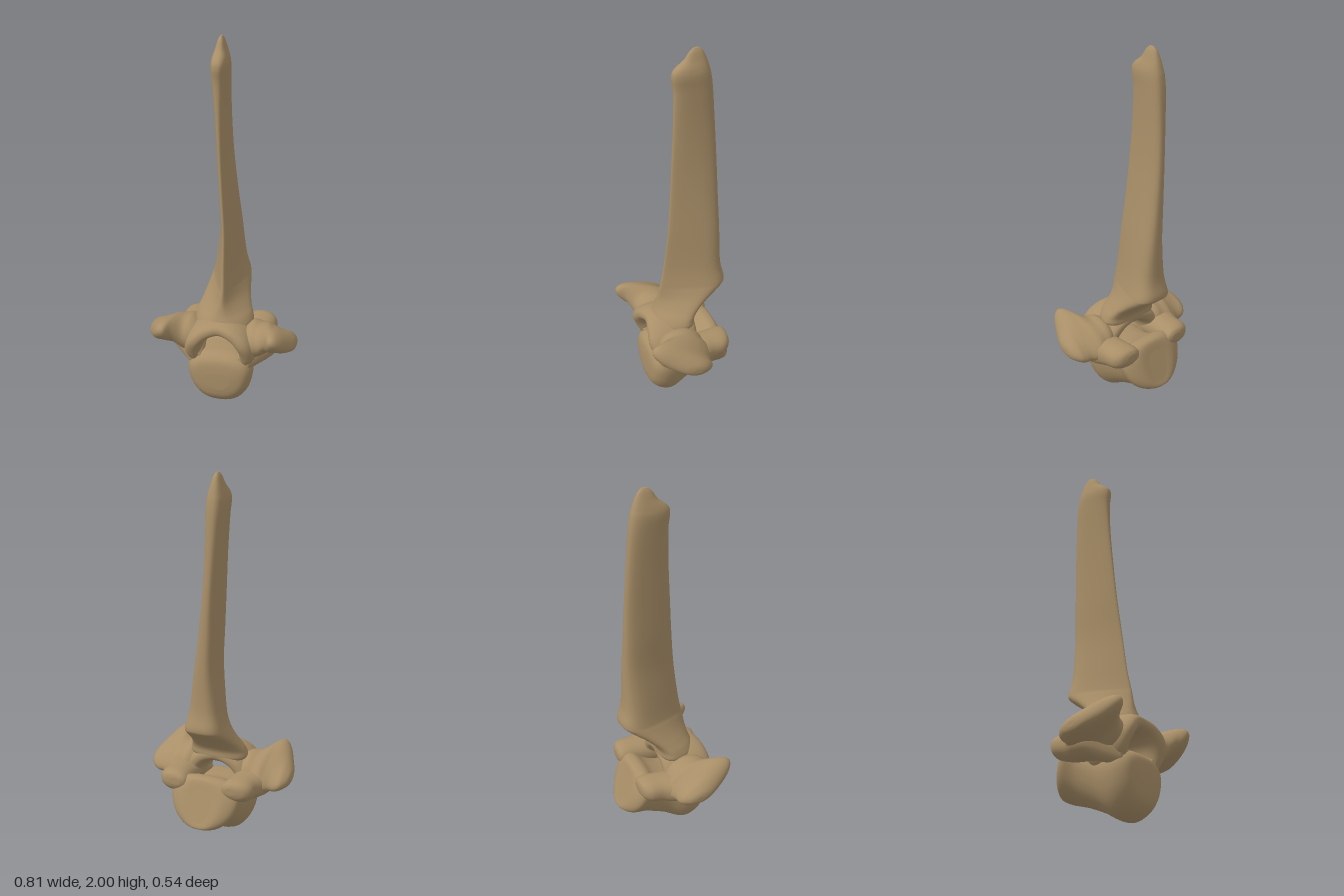
import * as THREE from 'three';

// Smooth closed loft: rows of section parameters are splined,
// and point(params, angle) places each vertex of a ring.
function loft(sections, point, steps = 6, sides = 40) {
  const cols = sections[0].length, last = sections.length - 1;
  const pos = [], index = [];
  const value = (i, c) => sections[Math.min(last, Math.max(0, i))][c];
  const rings = last * steps + 1;
  for (let r = 0; r < rings; r++) {
    const i = Math.min(last - 1, Math.floor(r / steps)), t = r / steps - i;
    const p = [];
    for (let c = 0; c < cols; c++) {
      const a = value(i - 1, c), b = value(i, c), d = value(i + 1, c), e = value(i + 2, c);
      p.push(b + 0.5 * t * (d - a + t * (2 * a - 5 * b + 4 * d - e + t * (3 * (b - d) + e - a))));
    }
    for (let s = 0; s < sides; s++) pos.push(...point(p, s / sides * Math.PI * 2));
  }
  for (let r = 0; r < rings - 1; r++) {
    for (let s = 0; s < sides; s++) {
      const n = (s + 1) % sides, a = r * sides + s, b = r * sides + n;
      index.push(a, b, a + sides, b, b + sides, a + sides);
    }
  }
  // End caps
  for (const [r, flip] of [[0, true], [rings - 1, false]]) {
    const centre = [0, 0, 0], base = r * sides, id = pos.length / 3;
    for (let s = 0; s < sides; s++) for (let k = 0; k < 3; k++) centre[k] += pos[(base + s) * 3 + k] / sides;
    pos.push(...centre);
    for (let s = 0; s < sides; s++) {
      const a = base + s, b = base + (s + 1) % sides;
      index.push(id, flip ? b : a, flip ? a : b);
    }
  }
  // Turn the faces outward whatever the loft direction
  const v = k => new THREE.Vector3().fromArray(pos, index[k] * 3);
  let volume = 0;
  for (let k = 0; k < index.length; k += 3) volume += v(k).dot(v(k + 1).cross(v(k + 2)));
  if (volume < 0) index.reverse();
  const g = new THREE.BufferGeometry();
  g.setAttribute('position', new THREE.Float32BufferAttribute(pos, 3));
  g.setIndex(index);
  g.computeVertexNormals();
  return g;
}

const power = (v, e) => Math.sign(v) * Math.pow(Math.abs(v), e);

export function createModel() {
  const model = new THREE.Group();
  model.name = 'vertebra';
  const bone = new THREE.MeshStandardMaterial({ color: 0xa98f68 });
  bone.name = 'bone';
  const add = (name, geometry) => {
    const mesh = new THREE.Mesh(geometry, bone);
    mesh.name = name;
    model.add(mesh);
  };

  // Tall spine, wedge shaped: y, centre x, front z, back z, front half width, back half width
  add('spinousProcess', loft([
    [0.455, 0, 0.18, -0.03, 0.10, 0.13],
    [0.48, 0, 0.18, -0.045, 0.11, 0.19],
    [0.52, 0, 0.165, -0.05, 0.09, 0.19],
    [0.56, 0, 0.15, -0.08, 0.06, 0.178],
    [0.61, 0.002, 0.138, -0.14, 0.035, 0.163],
    [0.665, 0.005, 0.128, -0.215, 0.025, 0.147],
    [0.70, 0.006, 0.12, -0.237, 0.022, 0.135],
    [0.80, 0.004, 0.10, -0.218, 0.018, 0.106],
    [1.00, 0.001, 0.073, -0.215, 0.016, 0.073],
    [1.20, -0.014, 0.053, -0.211, 0.018, 0.055],
    [1.40, -0.027, 0.038, -0.206, 0.02, 0.044],
    [1.60, -0.037, 0.025, -0.197, 0.025, 0.043],
    [1.78, -0.043, 0.02, -0.186, 0.035, 0.048],
    [1.86, -0.044, 0.028, -0.176, 0.041, 0.049],
    [1.90, -0.044, 0.015, -0.166, 0.037, 0.043],
    [1.94, -0.045, -0.035, -0.153, 0.027, 0.03],
    [1.98, -0.045, -0.063, -0.135, 0.016, 0.017],
    [2.00, -0.045, -0.085, -0.115, 0.006, 0.006],
  ], ([y, cx, zf, zb, wf, wb], a) => {
    const c = power(Math.cos(a), 0.85), w = wf + (wb - wf) * (1 - c) / 2;
    return [cx + w * power(Math.sin(a), 0.75), y, (zf + zb) / 2 + (zf - zb) / 2 * c];
  }));

  // Body under the canal: z, top y, bottom y, half width, backward lean
  add('vertebralBody', loft([
    [0.218, 0.23, 0.13, 0.07, 0],
    [0.205, 0.30, 0.075, 0.155, 0],
    [0.16, 0.335, 0.028, 0.195, 0],
    [0.09, 0.34, 0.006, 0.195, 0],
    [0.00, 0.34, 0.06, 0.172, 0.1],
    [-0.10, 0.37, 0.11, 0.182, 0.25],
    [-0.165, 0.405, 0.135, 0.215, 0.35],
    [-0.20, 0.412, 0.145, 0.195, 0.35],
    [-0.225, 0.40, 0.16, 0.13, 0.35],
    [-0.229, 0.35, 0.19, 0.06, 0.35],
  ], ([z, top, bottom, w, lean], a) => {
    const c = power(Math.cos(a), 0.85), dy = c * (top - bottom) / 2;
    return [w * (0.87 + 0.17 * c) * power(Math.sin(a), 0.75), (top + bottom) / 2 + dy, z + lean * dy];
  }));

  // Arch over the canal: angle from the crown, front z, back z, half thickness
  add('neuralArch', loft([
    [-2.2, 0.17, -0.02, 0.035],
    [-1.7, 0.205, -0.035, 0.05],
    [-1.1, 0.232, -0.04, 0.052],
    [-0.5, 0.222, -0.045, 0.048],
    [0, 0.208, -0.045, 0.046],
    [0.5, 0.222, -0.045, 0.048],
    [1.1, 0.232, -0.04, 0.052],
    [1.7, 0.205, -0.035, 0.05],
    [2.2, 0.17, -0.02, 0.035],
  ], ([t, zf, zb, h], a) => {
    const r = h * power(Math.sin(a), 0.8);
    return [(0.15 + r) * Math.sin(t), 0.35 + (0.135 + r) * Math.cos(t),
      (zf + zb) / 2 + (zf - zb) / 2 * power(Math.cos(a), 0.8)];
  }));

  for (const [side, label] of [[1, 'left'], [-1, 'right']]) {
    // Wing: x, centre z, centre y, half length, half thickness, tilt
    add(label + 'TransverseProcess', loft([
      [0.13, 0.08, 0.40, 0.11, 0.08, 0.10],
      [0.17, 0.075, 0.40, 0.125, 0.10, 0.15],
      [0.21, 0.075, 0.40, 0.135, 0.095, 0.30],
      [0.25, 0.08, 0.415, 0.165, 0.082, 0.42],
      [0.28, 0.105, 0.425, 0.183, 0.072, 0.44],
      [0.31, 0.113, 0.425, 0.175, 0.066, 0.45],
      [0.34, 0.10, 0.413, 0.155, 0.06, 0.42],
      [0.37, 0.077, 0.40, 0.115, 0.05, 0.33],
      [0.395, 0.065, 0.39, 0.065, 0.033, 0.25],
      [0.404, 0.06, 0.388, 0.025, 0.014, 0.20],
    ], ([x, cz, cy, l, h, tilt], a) => {
      const u = l * Math.cos(a), v = h * Math.sin(a);
      return [side * x, cy + u * Math.sin(tilt) + v * Math.cos(tilt),
        cz + u * Math.cos(tilt) - v * Math.sin(tilt)];
    }));

    // Ridge from the rear rim shoulder forward under the wing: z, x, y, half width, half height
    add(label + 'RearShoulder', loft([
      [-0.203, 0.16, 0.375, 0.03, 0.02],
      [-0.19, 0.17, 0.372, 0.065, 0.045],
      [-0.155, 0.18, 0.366, 0.083, 0.062],
      [-0.09, 0.186, 0.36, 0.085, 0.07],
      [-0.02, 0.20, 0.355, 0.10, 0.075],
      [0.05, 0.20, 0.345, 0.10, 0.075],
      [0.12, 0.16, 0.32, 0.07, 0.07],
      [0.18, 0.13, 0.29, 0.03, 0.04],
    ], ([z, cx, cy, w, h], a) =>
      [side * (cx + w * power(Math.sin(a), 0.9)), cy + h * power(Math.cos(a), 0.9), z]));
  }
  return model;
}
